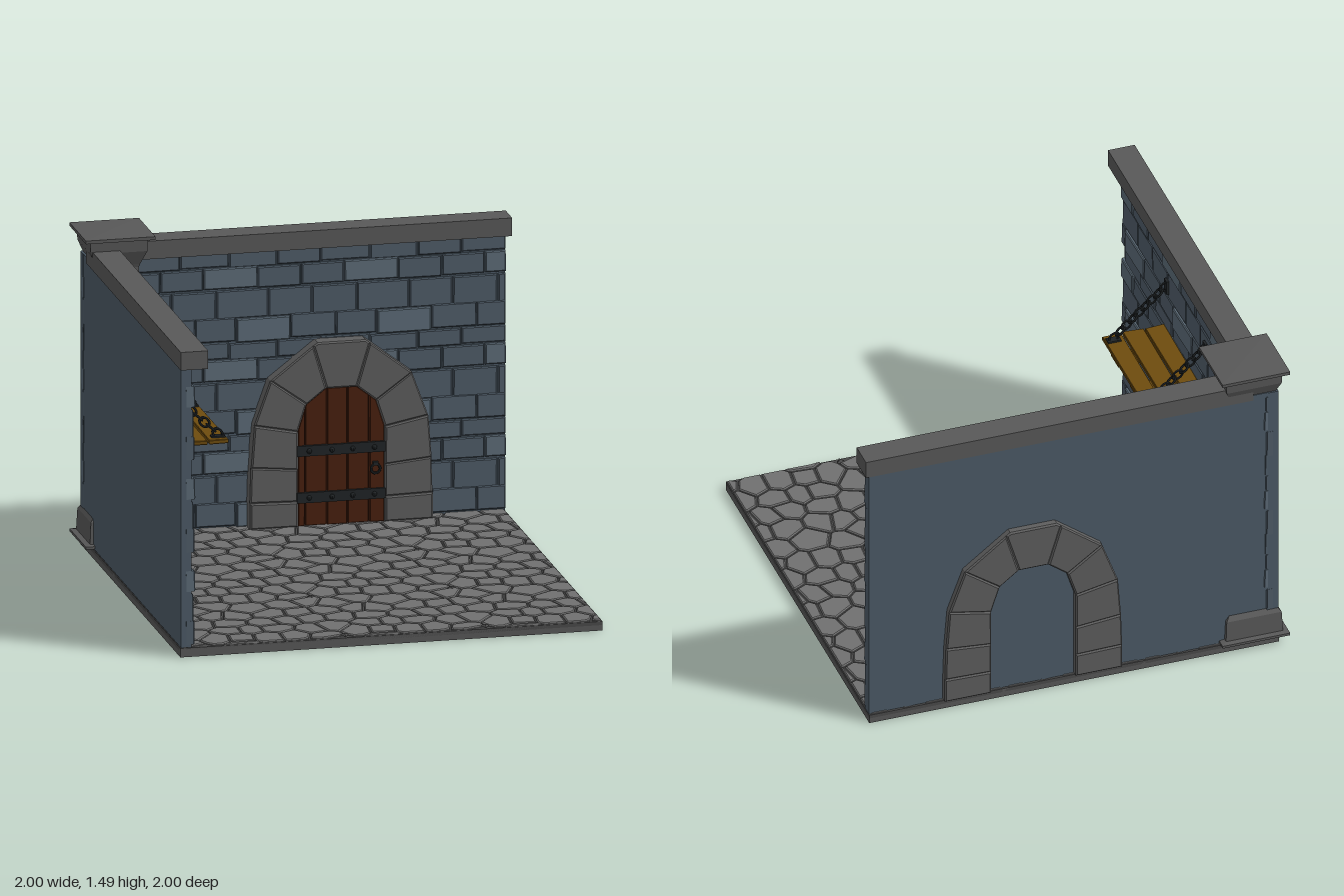
import * as THREE from 'three';
import { mergeGeometries } from 'three/addons/utils/BufferGeometryUtils.js';

const mat = (color) => new THREE.MeshStandardMaterial({ color, flatShading: true });
const M = {
  wall: mat(0x4c5a66), brick: mat(0x4f5c68), paleBrick: mat(0x5c6b77),
  trim: mat(0x585858), arch: mat(0x5e5e5e), floor: mat(0x707070), grout: mat(0x4a4a4a),
  door: mat(0x48200f), wood: mat(0x6e4c0e), iron: mat(0x202426),
};
const TILE = 0.6467, X0 = -0.96, X1 = 0.98; // three tiles along each side

function add(parent, name, geometry, material, x = 0, y = 0, z = 0) {
  const m = new THREE.Mesh(geometry, material);
  m.name = name;
  m.position.set(x, y, z);
  parent.add(m);
  return m;
}

// Box given by its two corners
function box(parent, name, material, x0, x1, y0, y1, z0, z1) {
  return add(parent, name, new THREE.BoxGeometry(x1 - x0, y1 - y0, z1 - z0), material,
    (x0 + x1) / 2, (y0 + y1) / 2, (z0 + z1) / 2);
}

// Polygon extruded from z0 to z1 with chamfered edges
function block(points, z0, z1, bevel) {
  const shape = new THREE.Shape(points.map(([x, y]) => new THREE.Vector2(x, y)));
  return new THREE.ExtrudeGeometry(shape, {
    depth: z1 - z0 - 2 * bevel, bevelEnabled: true, bevelSegments: 1,
    bevelSize: bevel, bevelThickness: bevel, bevelOffset: -bevel,
  }).translate(0, 0, z0 + bevel);
}

const rect = (x0, x1, y0, y1) => [[x0, y0], [x1, y0], [x1, y1], [x0, y1]];

function seeded(seed) {
  return () => {
    seed = (seed * 16807) % 2147483647;
    return seed / 2147483647;
  };
}

// Keeps the part of a polygon where nx*x + ny*y <= d
function clip(poly, nx, ny, d) {
  const out = [];
  poly.forEach((a, i) => {
    const b = poly[(i + 1) % poly.length];
    const da = nx * a[0] + ny * a[1] - d, db = nx * b[0] + ny * b[1] - d;
    if (da <= 0) out.push(a);
    if (da * db < 0) {
      const t = da / (da - db);
      out.push([a[0] + t * (b[0] - a[0]), a[1] + t * (b[1] - a[1])]);
    }
  });
  return out;
}

// Flagstones as cells around points that repeat from tile to tile
function createFloor() {
  const floor = new THREE.Group();
  floor.name = 'floor';
  const rnd = seeded(77), seeds = [], points = [], stones = [], n = 5;
  for (let i = 0; i < n; i++) for (let j = 0; j < n; j++) {
    seeds.push([(i + 0.2 + 0.6 * rnd() + (j % 2) * 0.4) * TILE / n, (j + 0.2 + 0.6 * rnd()) * TILE / n]);
  }
  for (let a = -1; a < 4; a++) for (let b = -1; b < 4; b++) {
    seeds.forEach(([x, y]) => points.push([X0 + a * TILE + x, -X1 + b * TILE + y]));
  }
  for (const p of points) {
    let cell = rect(X0 + 0.004, X1 - 0.004, -X1 + 0.004, -X0 - 0.004);
    for (const q of points) {
      const dx = q[0] - p[0], dy = q[1] - p[1], len = Math.hypot(dx, dy);
      if (len < 1e-6 || len > 0.5 || !cell.length) continue;
      const nx = dx / len, ny = dy / len;
      cell = clip(cell, nx, ny, nx * p[0] + ny * p[1] + len / 2 - 0.004);
    }
    const area = Math.abs(cell.reduce((s, a, i) => {
      const b = cell[(i + 1) % cell.length];
      return s + (a[0] * b[1] - b[0] * a[1]) / 2;
    }, 0));
    if (area > 0.0015) stones.push(block(cell, 0.03, 0.051, 0.005).rotateX(-Math.PI / 2));
  }
  add(floor, 'flagstones', mergeGeometries(stones), M.floor);
  box(floor, 'floorBed', M.grout, X0, X1, 0.025, 0.042, X0, X1);
  // Rims under each tile
  for (let i = 0; i < 4; i++) {
    const c = Math.min(Math.max(X0 + i * TILE, X0 + 0.015), X1 - 0.015);
    box(floor, 'tileRim', M.trim, c - 0.015, c + 0.015, 0, 0.04, X0, X1);
    box(floor, 'tileRim', M.trim, X0, X1, 0, 0.04, c - 0.015, c + 0.015);
  }
  // Loose three-cornered chips
  for (const x of [-0.2, 0.445]) for (const z of [-0.34, 0.31, 0.955]) {
    add(floor, 'stoneChip', new THREE.ConeGeometry(0.026, 0.012, 3), M.grout, x, 0.053, z);
  }
  return floor;
}

// Wall panel facing +z with its back at z = 0
function createWall(name) {
  const wall = new THREE.Group();
  wall.name = name;
  const rnd = seeded(11), L = 0.97, plain = [], pale = [];
  const rows = [
    { top: 0, bottom: 0.08, cuts: [-0.3, -0.08, 0.12] },
    { top: 0.08, bottom: 0.18, cuts: [-0.42, -0.17, 0.03], pale: 0 },
    { top: 0.18, bottom: 0.315, cuts: [-0.36, -0.12, 0.08] },
    { top: 0.315, bottom: 0.428, cuts: [-0.27, -0.02, 0.19], pale: 0 },
  ];
  box(wall, 'wallCore', M.wall, -L, L, 0.045, 1.36, 0, 0.048);
  for (const row of rows) row.cuts.forEach((start, k) => {
    const end = k < 2 ? row.cuts[k + 1] : row.cuts[0] + TILE;
    const rise = k === row.pale ? 0.066 : 0.055 + 0.008 * rnd();
    const tiltX = (rnd() - 0.5) * 0.06, tiltY = (rnd() - 0.5) * 0.04, drop = (rnd() - 0.5) * 0.012;
    for (let tx = -2; tx <= 2; tx++) for (let ty = 0; ty < 3; ty++) {
      const a = Math.max(start + tx * TILE + 0.002, -L), b = Math.min(end + tx * TILE - 0.002, L);
      if (b - a < 0.03) continue;
      const h = (row.bottom - row.top) / 2 - 0.002;
      const g = block(rect((a - b) / 2, (b - a) / 2, -h, h), 0.02, rise, 0.005);
      g.rotateX(tiltX).rotateY(tiltY);
      g.translate((a + b) / 2, 1.335 - ty * 0.428 - (row.top + row.bottom) / 2 + drop, 0);
      (k === row.pale ? pale : plain).push(g);
    }
  });
  add(wall, 'bricks', mergeGeometries(plain), M.brick);
  add(wall, 'paleBricks', mergeGeometries(pale), M.paleBrick);
  return wall;
}

// Square corner column with flared base and capital
function createColumn() {
  const profile = [[0, 0.05], [0.16, 0.05], [0.16, 0.062], [0.135, 0.066], [0.13, 0.165], [0.1, 0.205],
    [0.098, 1.33], [0.103, 1.345], [0.13, 1.41], [0.133, 1.463], [0.16, 1.468], [0.16, 1.483], [0, 1.485]];
  const g = new THREE.LatheGeometry(
    profile.map(([r, y]) => new THREE.Vector2(r * Math.SQRT2, y)), 4, Math.PI / 4);
  const column = new THREE.Mesh(g, M.trim);
  column.name = 'cornerColumn';
  column.position.set(-0.84, 0, -0.84);
  return column;
}

// Stone arch with plank door; x is measured from the door centre
function createDoorway() {
  const doorway = new THREE.Group();
  doorway.name = 'doorway';
  doorway.position.x = 0.21;
  const inner = [[0.2, 0.05], [0.2, 0.165], [0.2, 0.315], [0.2, 0.49], [0.16, 0.615], [0.07, 0.685]];
  const outer = [[0.42, 0.05], [0.42, 0.17], [0.415, 0.335], [0.4, 0.53], [0.325, 0.735], [0.13, 0.885]];
  const flip = (p) => [-p[0], p[1]];
  const stones = [];
  for (let i = 0; i < 5; i++) {
    const quad = [inner[i], outer[i], outer[i + 1], inner[i + 1]];
    const front = -0.825 - (i % 2) * 0.006;
    stones.push(block(quad, -0.988, front, 0.007), block(quad.map(flip).reverse(), -0.988, front, 0.007));
  }
  const key = [inner[5], outer[5], [0.11, 0.9], [-0.11, 0.9], flip(outer[5]), flip(inner[5])];
  stones.push(block(key, -0.988, -0.823, 0.007));
  add(doorway, 'archStones', mergeGeometries(stones), M.arch);

  // Door planks cut to the arch
  const outline = [...inner, ...inner.map(flip).reverse()];
  const cuts = [-0.2, -0.165, -0.065, 0.03, 0.13, 0.2];
  for (let i = 0; i < 5; i++) {
    const plank = clip(clip(outline, -1, 0, -cuts[i] - 0.002), 1, 0, cuts[i + 1] - 0.002);
    add(doorway, 'doorPlank', block(plank, -0.9, -0.835 - (i % 2) * 0.004, 0.003), M.door);
  }
  for (const y of [0.183, 0.4]) {
    box(doorway, 'doorStrap', M.iron, -0.205, 0.2, y - 0.024, y + 0.024, -0.85, -0.824);
    for (const x of [-0.15, -0.045, 0.05, 0.15]) {
      add(doorway, 'doorBolt', new THREE.SphereGeometry(0.012, 8, 6), M.iron, x, y, -0.822);
    }
  }
  add(doorway, 'doorRing', new THREE.TorusGeometry(0.021, 0.006, 6, 14), M.iron, 0.155, 0.3, -0.822);
  box(doorway, 'ringPlate', M.iron, 0.143, 0.167, 0.315, 0.332, -0.845, -0.816);
  return doorway;
}

// Plank shelf hung from the left wall by two chains
function createShelf() {
  const shelf = new THREE.Group();
  shelf.name = 'hangingShelf';
  [[-0.9, -0.808, -0.225, 0.415], [-0.802, -0.703, -0.215, 0.425], [-0.695, -0.605, -0.225, 0.415]]
    .forEach(([x0, x1, z0, z1], i) => {
      const taper = i === 1 ? 0.008 : -0.006;
      const pts = [[x0, -z1 + taper], [x1, -z1], [x1, -z0], [x0 + 0.006, -z0 - taper]];
      add(shelf, 'shelfPlank', block(pts, 0.818, 0.838, 0.003).rotateX(-Math.PI / 2), M.wood);
    });
  for (const z of [0.26, 0]) box(shelf, 'shelfBatten', M.wood, -0.9, -0.61, 0.803, 0.82, z - 0.05, z + 0.05);

  const from = new THREE.Vector3(-0.885, 1.075, 0), to = new THREE.Vector3(-0.645, 0.855, 0);
  const angle = Math.atan2(to.y - from.y, to.x - from.x), links = 9;
  for (const z of [0.37, -0.15]) {
    const chain = new THREE.Group();
    chain.name = 'chain';
    chain.position.z = z;
    for (let i = 0; i < links; i++) {
      const g = new THREE.TorusGeometry(0.019, 0.0055, 6, 12).scale(1.35, 1, 1);
      if (i % 2) g.rotateX(Math.PI / 2);
      add(chain, 'chainLink', g.rotateZ(angle), M.iron).position.lerpVectors(from, to, i / (links - 1));
    }
    box(chain, 'wallStaple', M.iron, -0.91, -0.888, 1.04, 1.11, -0.018, 0.018);
    box(chain, 'shelfStaple', M.iron, -0.675, -0.612, 0.835, 0.846, -0.018, 0.018);
    shelf.add(chain);
  }
  return shelf;
}

export function createModel() {
  const room = new THREE.Group();
  room.name = 'stoneRoom';
  const backWall = createWall('backWall');
  backWall.position.set(0.01, 0, -0.953);
  const leftWall = createWall('leftWall');
  leftWall.rotation.y = Math.PI / 2;
  leftWall.position.set(-0.958, 0, 0.013);
  room.add(createFloor(), backWall, leftWall, createColumn(), createDoorway(), createShelf());
  // Coping along the tops of the walls
  box(room, 'backCoping', M.trim, -0.84, 0.995, 1.336, 1.42, -0.958, -0.832);
  box(room, 'leftCoping', M.trim, -0.962, -0.836, 1.336, 1.42, -0.84, 0.995);
  return room;
}
